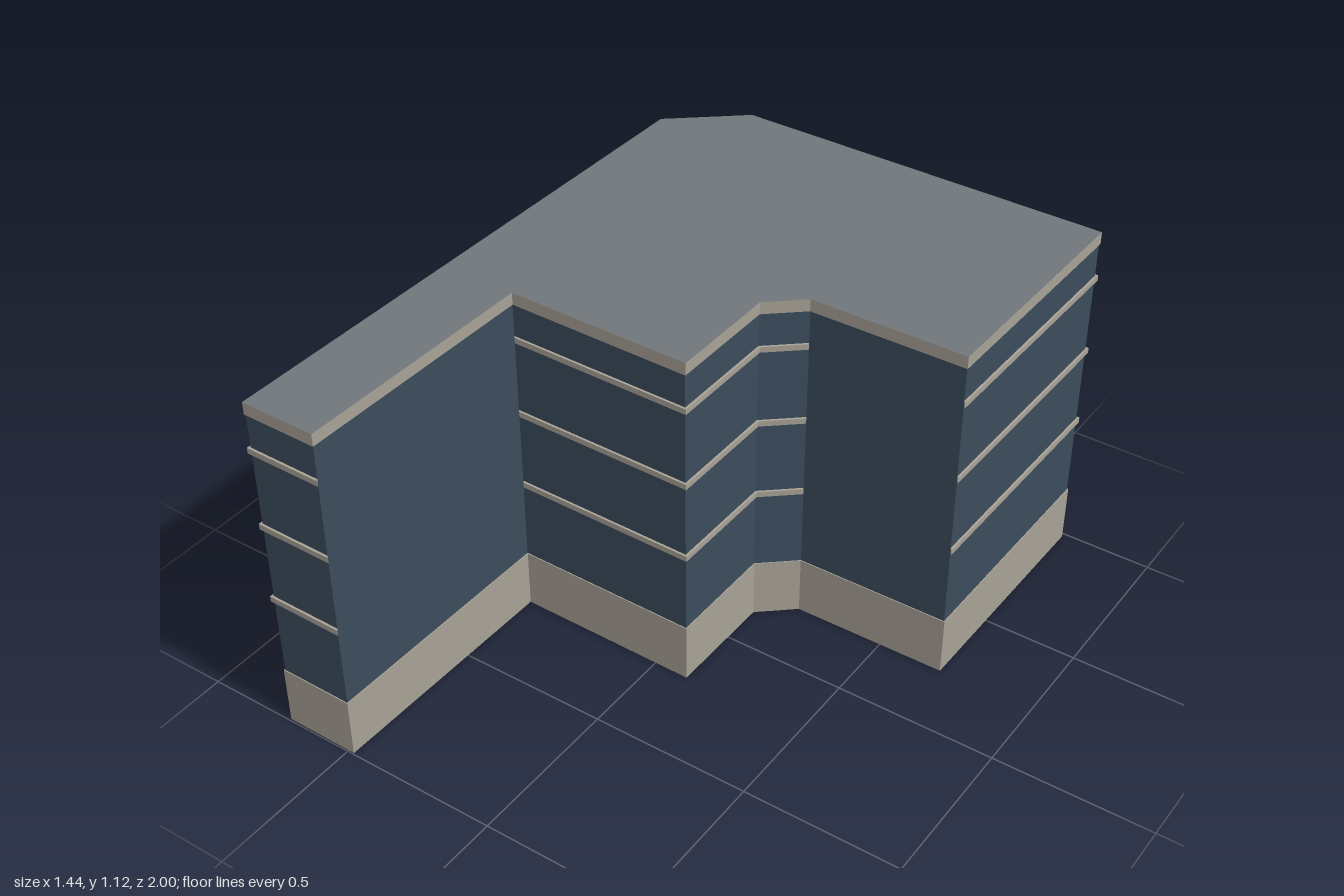
import * as THREE from 'three';

const mat = (name, color) => {
  const m = new THREE.MeshStandardMaterial({ color });
  m.name = name;
  return m;
};

// Footprint corners as [x, z]; banded = the wall to the next corner carries ledges
const corners = [
  { p: [-0.479, -0.996], banded: true },
  { p: [0.714, -0.986], banded: true },
  { p: [0.704, -0.229], banded: false },
  { p: [0.218, -0.226], banded: true },
  { p: [0.113, -0.136], banded: true },
  { p: [0.111, 0.215], banded: true },
  { p: [-0.469, 0.207], banded: false },
  { p: [-0.481, 0.996], banded: true },
  { p: [-0.719, 0.994], banded: true },
  { p: [-0.696, -0.816], banded: true },
];

// Mitred offset of the footprint; positive grows it
function offsetRing(d) {
  const pts = corners.map((c) => new THREE.Vector2(...c.p));
  const n = pts.length;
  const normal = (a, b) => new THREE.Vector2(b.y - a.y, a.x - b.x).normalize();
  return pts.map((p, i) => {
    const n1 = normal(pts[(i + n - 1) % n], p);
    const n2 = normal(p, pts[(i + 1) % n]);
    const k = d / (1 + n1.dot(n2));
    return p.clone().add(n1.add(n2).multiplyScalar(k));
  });
}

// Upright prism over a plan outline
function prism(name, ring, y0, y1, material) {
  const shape = new THREE.Shape(ring.map((p) => new THREE.Vector2(p.x, -p.y)));
  const geo = new THREE.ExtrudeGeometry(shape, { depth: y1 - y0, bevelEnabled: false });
  geo.rotateX(-Math.PI / 2).translate(0, y0, 0);
  const mesh = new THREE.Mesh(geo, material);
  mesh.name = name;
  return mesh;
}

export function createModel() {
  const stone = mat('warm grey stone', 0xa8a296);
  const glass = mat('dark blue glazing', 0x3c4c5d);
  const roof = mat('grey roofing', 0x70767a);

  const building = new THREE.Group();
  building.name = 'building';
  const edge = offsetRing(0);
  const wall = offsetRing(-0.003);
  const lip = offsetRing(0.004);

  building.add(prism('base', edge, 0, 0.19, stone));
  building.add(prism('glazedWalls', wall, 0.19, 1.076, glass));
  // Roof slab: grey top, stone rim
  building.add(prism('roofSlab', edge, 1.076, 1.115, [roof, stone]));

  // Floor ledges along the banded walls
  const ledges = new THREE.Group();
  ledges.name = 'floorLedges';
  for (const y of [0.454, 0.708, 0.961]) {
    corners.forEach((c, i) => {
      if (!c.banded) return;
      const j = (i + 1) % corners.length;
      ledges.add(prism('floorLedge', [wall[i], lip[i], lip[j], wall[j]], y - 0.009, y + 0.009, stone));
    });
  }
  building.add(ledges);
  return building;
}
